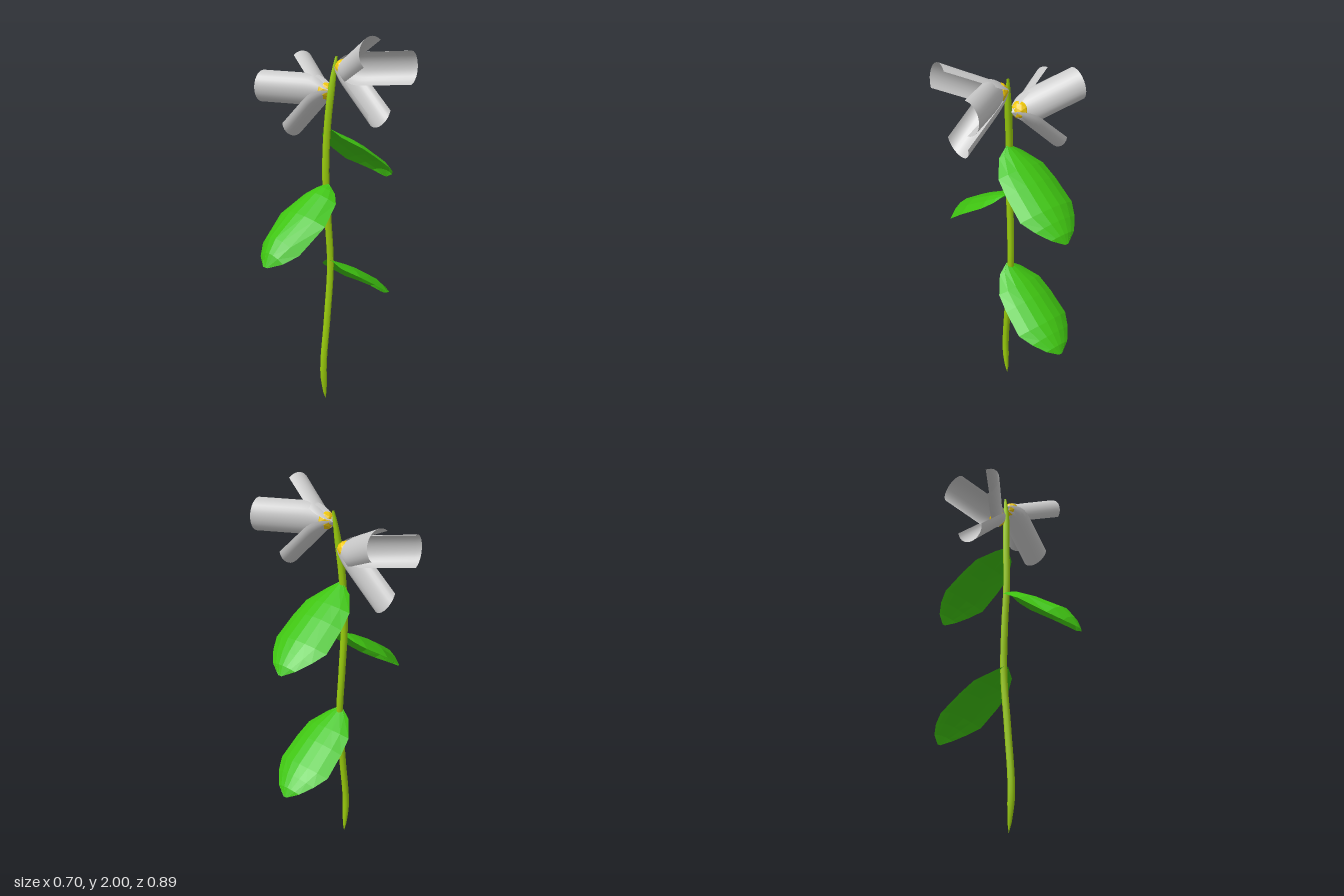
import * as THREE from 'three';

const material = (color, flatShading = false) =>
  new THREE.MeshStandardMaterial({ color, flatShading, side: THREE.DoubleSide });

// Surface through a grid of points given by a rule f(u, v), u and v from 0 to 1
function loft(nu, nv, f) {
  const pos = [], index = [];
  for (let i = 0; i <= nu; i++) {
    for (let j = 0; j <= nv; j++) {
      pos.push(...f(i / nu, j / nv));
      if (i < nu && j < nv) {
        const a = i * (nv + 1) + j, b = a + nv + 1;
        index.push(a, b, a + 1, b, b + 1, a + 1);
      }
    }
  }
  const g = new THREE.BufferGeometry();
  g.setAttribute('position', new THREE.Float32BufferAttribute(pos, 3));
  g.setIndex(index);
  g.computeVertexNormals();
  return g;
}

function addMesh(parent, name, geometry, mat) {
  const mesh = new THREE.Mesh(geometry, mat);
  mesh.name = name;
  parent.add(mesh);
  return mesh;
}

// Gently bent stem, pointed at both ends
function stemGeometry() {
  const path = new THREE.CatmullRomCurve3([
    [-0.02, 0, 0.02], [-0.02, 0.2, 0.035], [-0.015, 0.5, 0.01], [-0.015, 0.8, -0.015],
    [-0.022, 1.05, -0.005], [-0.024, 1.3, 0.01], [-0.018, 1.55, 0.002], [0.0, 1.75, -0.012],
    [0.013, 1.88, -0.028],
  ].map(p => new THREE.Vector3(...p)));
  return loft(40, 8, (u, v) => {
    const c = path.getPointAt(u);
    const r = 0.018 * Math.sqrt(Math.min(1, u / 0.08, (1 - u) / 0.1 + 0.1));
    const a = v * Math.PI * 2;
    return [c.x + r * Math.cos(a), c.y, c.z - r * Math.sin(a)];
  });
}

// Arched leaf: each station is [ridge z, ridge y, edge z, edge y, half width]
function leafGeometry(stations) {
  return loft(stations.length - 1, 6, (u, v) => {
    const [rz, ry, ez, ey, w] = stations[Math.round(u * (stations.length - 1))];
    const s = v * 2 - 1, k = s * s;
    return [w * s, ry + (ey - ry) * k, rz + (ez - rz) * k];
  });
}

const backLeaf = [
  [0.0, 0.0, 0.0, 0.0, 0.01], [-0.04, -0.02, -0.02, -0.04, 0.07],
  [-0.13, -0.065, -0.10, -0.095, 0.135], [-0.21, -0.11, -0.18, -0.15, 0.15],
  [-0.33, -0.19, -0.295, -0.23, 0.157], [-0.38, -0.235, -0.36, -0.265, 0.12],
  [-0.425, -0.285, -0.415, -0.30, 0.07], [-0.445, -0.33, -0.445, -0.33, 0.01],
];
const frontLeaf = [
  [0.01, 0.0, 0.01, 0.0, 0.01], [0.05, -0.01, 0.03, -0.035, 0.07],
  [0.10, -0.03, 0.07, -0.07, 0.115], [0.23, -0.105, 0.19, -0.15, 0.157],
  [0.37, -0.20, 0.34, -0.265, 0.13], [0.415, -0.265, 0.40, -0.305, 0.08],
  [0.442, -0.33, 0.442, -0.33, 0.015],
];

// Trough-shaped petal leaning down from the flower axis (+x), open towards the axis
function petalGeometry(length, spread) {
  const halfWidth = 0.079, depth = 0.072;
  return loft(14, 14, (u, v) => {
    const w = Math.pow(Math.sin(Math.min(1, u / 0.42) * Math.PI / 2), 0.75);
    const a = (v - 0.5) * Math.PI;
    const rise = 1 - Math.cos(a);
    return [
      length * u + 0.015 * rise * u,
      -spread * u + depth * w * rise,
      halfWidth * w * Math.sin(a),
    ];
  });
}

// Flower facing +x: three petals around a round yellow centre
function flower(name) {
  const g = new THREE.Group();
  g.name = name;
  const grey = material(0xcccccc);
  // [length, spread, turn about the axis]
  const petals = [
    ['lowerPetal', 0.27, 0.255, 0],
    ['sidePetal', 0.325, 0.225, Math.PI / 2 + 0.08],
    ['upperPetal', 0.30, 0.205, -Math.PI * 0.75],
  ];
  for (const [part, length, spread, turn] of petals) {
    addMesh(g, part, petalGeometry(length, spread), grey).rotation.x = turn;
  }
  const centre = addMesh(g, 'flowerCentre', new THREE.IcosahedronGeometry(0.045, 1), material(0xf0c808, true));
  centre.position.x = 0.055;
  return g;
}

export function createModel() {
  const model = new THREE.Group();
  model.name = 'flowerStalk';

  addMesh(model, 'stem', stemGeometry(), material(0x99cc0c));

  // Leaves alternate back, front, back up the stem
  const green = material(0x3fc411, true);
  const leaves = [
    ['lowerBackLeaf', backLeaf, 0.835], ['frontLeaf', frontLeaf, 1.25], ['upperBackLeaf', backLeaf, 1.53],
  ];
  for (const [name, stations, y] of leaves) {
    addMesh(model, name, leafGeometry(stations), green).position.set(-0.01, y, 0);
  }

  // Two identical flowers facing opposite ways
  const left = flower('leftFlower');
  left.position.set(0.008, 1.828, -0.025);
  const right = flower('rightFlower');
  right.position.set(-0.008, 1.708, -0.025);
  right.rotation.y = Math.PI;
  model.add(left, right);
  return model;
}
